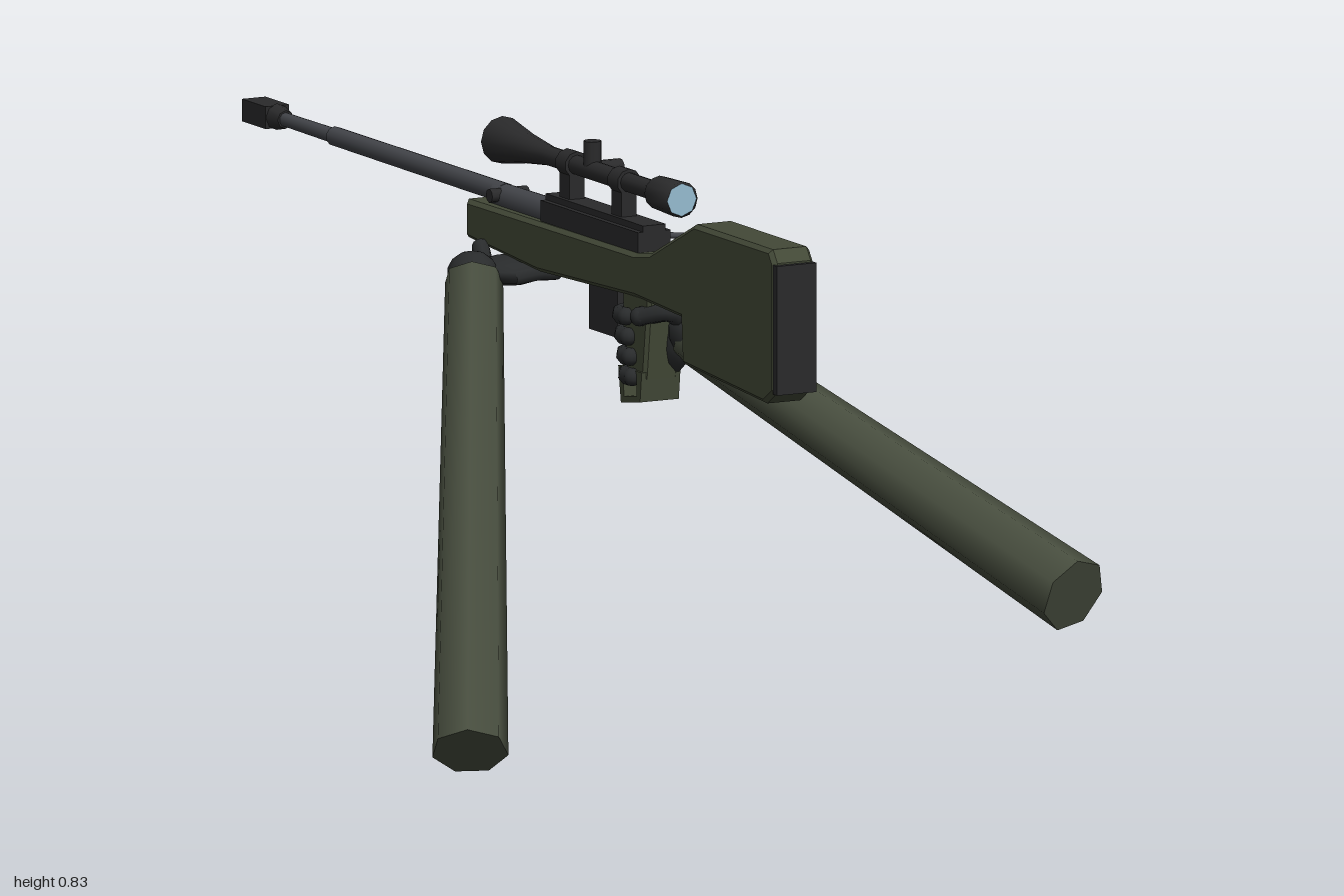
import * as THREE from 'three';

const CX = 0.05; // centre plane of the rifle

export function createModel() {
  const root = new THREE.Group();
  const mat = (name, color, side = THREE.FrontSide) => {
    const m = new THREE.MeshStandardMaterial({ color, side });
    m.name = name;
    return m;
  };
  const green = mat('stock green', 0x434937);
  const sleeveGreen = mat('sleeve green', 0x474d3e);
  const black = mat('matte black', 0x2a2a2b);
  const steel = mat('gun steel', 0x44464b);
  const glove = mat('glove black', 0x292b2c);
  const glass = mat('lens blue', 0x95bbd0);

  const V = (x, y, z) => new THREE.Vector3(x, y, z);
  const add = (name, geo, m, parent = root) => {
    const mesh = new THREE.Mesh(geo, m);
    mesh.name = name;
    parent.add(mesh);
    return mesh;
  };
  const group = (name) => {
    const g = new THREE.Group();
    g.name = name;
    root.add(g);
    return g;
  };
  const box = (name, w, h, d, x, y, z, m, parent) => {
    const b = add(name, new THREE.BoxGeometry(w, h, d), m, parent);
    b.position.set(x, y, z);
    return b;
  };
  const ball = (name, r, p, m, parent, sx = 1, sy = 1, sz = 1) => {
    const s = add(name, new THREE.SphereGeometry(r, 10, 7), m, parent);
    s.position.copy(p);
    s.scale.set(sx, sy, sz);
    return s;
  };
  // Cylinder running from a (radius ra) to b (radius rb)
  const rod = (name, a, b, ra, rb, sides, m, parent) => {
    const c = add(name, new THREE.CylinderGeometry(rb, ra, a.distanceTo(b), sides), m, parent);
    c.position.copy(a).lerp(b, 0.5);
    c.quaternion.setFromUnitVectors(V(0, 1, 0), b.clone().sub(a).normalize());
    return c;
  };
  // Side outline in [z, y], given thickness along x, with a small chamfer
  const slab = (name, pts, width, bevel, m, hole) => {
    const shape = new THREE.Shape(pts.map(([z, y]) => new THREE.Vector2(z, y)));
    if (hole) shape.holes.push(new THREE.Path(hole.map(([z, y]) => new THREE.Vector2(z, y))));
    const depth = width - 2 * bevel;
    const geo = new THREE.ExtrudeGeometry(shape, {
      depth, bevelEnabled: bevel > 0, bevelSize: bevel, bevelThickness: bevel,
      bevelOffset: -bevel, bevelSegments: 1,
    });
    geo.translate(0, 0, -depth / 2);
    geo.rotateY(-Math.PI / 2);
    geo.translate(CX, 0, 0);
    return add(name, geo, m);
  };
  const alongZ = (name, z0, z1, r0, r1, sides, y, m, parent) =>
    rod(name, V(CX, y, z0), V(CX, y, z1), r0, r1, sides, m, parent);

  // Stock with butt, wrist and fore-end
  slab('stock', [
    [0.605, 0.575], [0.575, 0.555], [0.33, 0.572], [0.325, 0.638], [0.19, 0.645],
    [-0.1, 0.635], [-0.312, 0.65], [-0.312, 0.705], [0.19, 0.708], [0.233, 0.715],
    [0.367, 0.778], [0.592, 0.778], [0.605, 0.76],
  ], 0.065, 0.006, green);
  box('buttPlate', 0.063, 0.185, 0.012, CX, 0.665, 0.607, black);

  // Pistol grip ending in an open loop
  slab('grip', [[0.225, 0.65], [0.145, 0.65], [0.145, 0.53], [0.21, 0.53]], 0.055, 0.005, green);
  slab('gripLoop', [[0.21, 0.54], [0.14, 0.54], [0.148, 0.488], [0.205, 0.497]], 0.062, 0, green,
    [[0.195, 0.53], [0.195, 0.504], [0.158, 0.498], [0.153, 0.53]]);

  // Receiver, rail, magazine and trigger guard
  box('receiver', 0.052, 0.03, 0.29, CX, 0.722, 0.045, black);
  box('rail', 0.036, 0.014, 0.29, CX, 0.739, 0.045, black);
  box('magazine', 0.042, 0.075, 0.085, CX, 0.612, 0.077, black);
  slab('triggerGuard', [[0.17, 0.645], [0.11, 0.645], [0.11, 0.59], [0.16, 0.59]], 0.02, 0, black,
    [[0.155, 0.638], [0.15, 0.597], [0.118, 0.597], [0.118, 0.638]]);

  // Barrel and muzzle brake
  alongZ('barrelBase', -0.09, -0.27, 0.021, 0.019, 10, 0.715, steel);
  alongZ('barrel', -0.25, -0.76, 0.015, 0.014, 10, 0.72, steel);
  alongZ('barrelTip', -0.75, -0.93, 0.011, 0.01, 10, 0.72, steel);
  const brake = group('muzzleBrake');
  box('brakeBody', 0.038, 0.032, 0.07, CX, 0.72, -0.965, black, brake);
  alongZ('brakeCollar', -0.905, -0.932, 0.013, 0.019, 8, 0.72, black, brake);

  // Bolt handle and small fore-end pins
  rod('boltHandle', V(0.07, 0.722, 0.145), V(0.14, 0.716, 0.145), 0.005, 0.004, 8, steel);
  ball('boltKnob', 0.012, V(0.14, 0.715, 0.145), black);
  rod('foreEndPin', V(0.02, 0.72, -0.245), V(0.08, 0.72, -0.245), 0.01, 0.01, 8, black);

  // Scope: tube turned around its axis, mounts, turrets, eyepiece glass
  const scope = group('scope');
  const profile = [
    [0, -0.268], [0.03, -0.268], [0.034, -0.262], [0.022, -0.19], [0.014, -0.12],
    [0.014, 0.185], [0.024, 0.205], [0.026, 0.27], [0, 0.27],
  ].map(([r, z]) => new THREE.Vector2(r, z));
  const tube = add('scopeTube', new THREE.LatheGeometry(profile, 12).rotateX(Math.PI / 2), black, scope);
  tube.position.set(CX, 0.795, 0);
  const lens = add('eyepieceLens', new THREE.CircleGeometry(0.0235, 8), glass, scope);
  lens.position.set(CX, 0.795, 0.2715);
  for (const z of [0.1, -0.055]) {
    box('scopeMount', 0.024, 0.05, 0.03, CX, 0.763, z, black, scope);
    alongZ('scopeRing', z + 0.015, z - 0.015, 0.019, 0.019, 10, 0.795, black, scope);
  }
  rod('topTurret', V(CX, 0.795, 0.006), V(CX, 0.837, 0.006), 0.013, 0.013, 10, black, scope);
  rod('sideTurret', V(CX, 0.795, 0.006), V(0.095, 0.795, 0.006), 0.013, 0.013, 10, black, scope);

  // Sleeved arms
  rod('rearArmSleeve', V(0.095, 0.588, 0.225), V(0.302, 0.32, 0.968), 0.04, 0.056, 7, sleeveGreen);
  rod('frontArmSleeve', V(-0.037, 0.617, -0.185), V(-0.307, 0.042, 0.305), 0.042, 0.055, 7, sleeveGreen);

  // A finger bent through a few points, rounded at the tip
  const finger = (pts, r, hand) => {
    const path = new THREE.CatmullRomCurve3(pts);
    add('finger', new THREE.TubeGeometry(path, 8, r, 7), glove, hand);
    ball('fingertip', r, pts[pts.length - 1], glove, hand);
  };

  // Rear hand around the grip
  const rear = group('rearHand');
  ball('rearWrist', 0.036, V(0.09, 0.598, 0.225), glove, rear);
  ball('rearPalm', 0.05, V(0.076, 0.582, 0.19), glove, rear, 0.5, 1, 0.95);
  for (let i = 0; i < 4; i++) {
    const y = 0.614 - i * 0.028, z = i * 0.006;
    finger([V(0.085, y, 0.18 + z), V(0.078, y, 0.14 + z), V(0.045, y, 0.128 + z),
      V(0.02, y, 0.14 + z), V(0.018, y, 0.165 + z)], 0.013, rear);
  }
  finger([V(0.08, 0.61, 0.225), V(0.05, 0.628, 0.235), V(0.018, 0.62, 0.205)], 0.014, rear);

  // Front hand supporting the fore-end
  const front = group('frontHand');
  ball('frontWrist', 0.037, V(-0.036, 0.622, -0.19), glove, front, 1, 0.9, 1);
  ball('frontPalm', 0.058, V(0.025, 0.622, -0.195), glove, front, 1, 0.36, 0.9);
  for (let i = 0; i < 4; i++) {
    const z = -0.155 - i * 0.03;
    finger([V(0.01, 0.618, z), V(0.05, 0.622, z), V(0.083, 0.622, z), V(0.09, 0.637, z)], 0.012, front);
  }
  finger([V(-0.02, 0.628, -0.205), V(0.005, 0.632, -0.235), V(0.012, 0.645, -0.255)], 0.013, front);
  return root;
}
